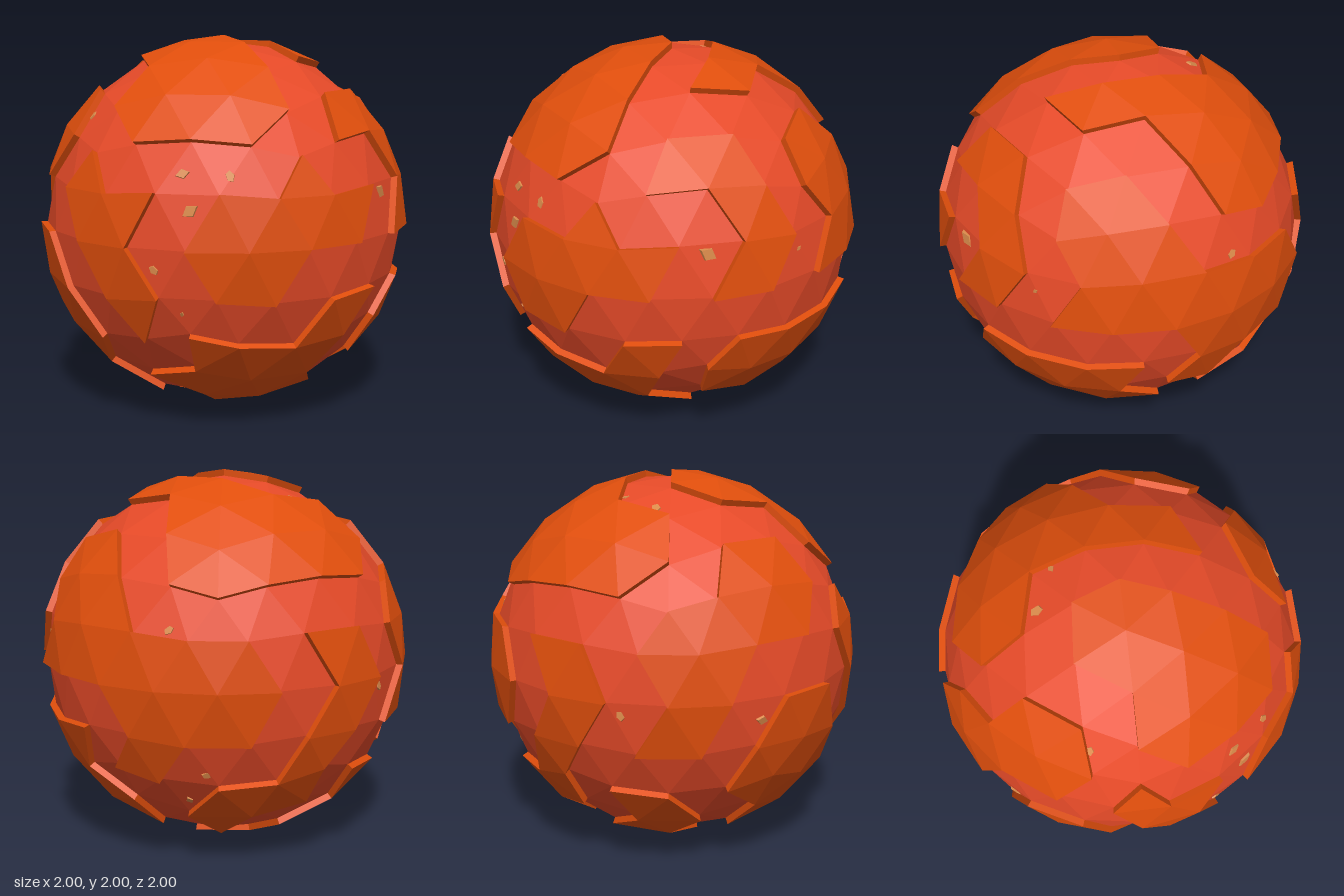
import * as THREE from 'three';

const BASE_R = 0.965, PLATE_R = 1;
const COLORS = { ground: 0xe64a28, plate: 0xe04e0c, rock: 0xd98a4a };

// Faceted ball with one corner straight up and a ridge running down towards +x
function ballGeometry(radius) {
  const g = new THREE.IcosahedronGeometry(radius, 3);
  g.rotateZ(Math.atan(2 / (1 + Math.sqrt(5))));
  g.rotateY(Math.PI);
  return g;
}

const material = (color) => new THREE.MeshStandardMaterial({ color, flatShading: true });

// Point on the unit ball from azimuth (0 = +x, 90 = +z) and height
function direction(azimuth, y) {
  const a = THREE.MathUtils.degToRad(azimuth), r = Math.sqrt(1 - y * y);
  return new THREE.Vector3(r * Math.cos(a), y, r * Math.sin(a));
}

// Mean heights of the rows of corners, from pole to pole
const HALF = [1, 0.968, 0.875, 0.69, 0.485, 0.265];
const ROWS = [...HALF, 0, ...HALF.slice().reverse().map((y) => -y)];

// Even-odd test of a 2D point against a polygon
function inside(p, poly) {
  let hit = false;
  poly.forEach((a, i) => {
    const b = poly[(i + 1) % poly.length];
    if ((a.y > p.y) !== (b.y > p.y) && p.x < ((b.x - a.x) * (p.y - a.y)) / (b.y - a.y) + a.x) hit = !hit;
  });
  return hit;
}

// Raised plate: all ball facets inside an outline of [row, azimuth] corners, plus a rim wall
function plateGeometry(facets, outline) {
  const points = facets.flat();
  const corners = outline.map(([row, az]) => {
    const d = direction(az, ROWS[row]);
    return points.reduce((best, p) => (p.dot(d) > best.dot(d) ? p : best));
  });
  // flatten onto a tangent plane at the middle of the outline
  const mid = corners.reduce((s, c) => s.add(c), new THREE.Vector3()).normalize();
  const u = new THREE.Vector3(0.31, 0.52, 0.79).cross(mid).normalize();
  const v = mid.clone().cross(u);
  const flat = (p) => new THREE.Vector2(p.dot(u) / p.dot(mid), p.dot(v) / p.dot(mid));
  const poly = corners.map(flat);
  const chosen = facets.filter(([a, b, c]) => {
    const centre = a.clone().add(b).add(c).normalize();
    return centre.dot(mid) > 0.1 && inside(flat(centre), poly);
  });

  const key = (p) => p.toArray().map((n) => Math.round(n * 1000) + 0).join();
  const edges = new Set();
  const eachEdge = (fn) => chosen.forEach((t) => t.forEach((a, i) => fn(a, t[(i + 1) % 3])));
  eachEdge((a, b) => edges.add(key(a) + '|' + key(b)));

  const out = [];
  const push = (p, r) => out.push(p.x * r, p.y * r, p.z * r);
  chosen.forEach((t) => t.forEach((p) => push(p, PLATE_R)));
  eachEdge((a, b) => {
    if (edges.has(key(b) + '|' + key(a))) return;
    const low = BASE_R - 0.01;
    push(a, PLATE_R); push(a, low); push(b, low);
    push(a, PLATE_R); push(b, low); push(b, PLATE_R);
  });
  const g = new THREE.BufferGeometry();
  g.setAttribute('position', new THREE.Float32BufferAttribute(out, 3));
  g.computeVertexNormals();
  return g;
}

export function createModel() {
  const group = new THREE.Group();
  const planet = new THREE.Group();
  planet.name = 'planet';
  planet.position.y = 1;
  group.add(planet);

  const add = (name, geometry, mat) => {
    const mesh = new THREE.Mesh(geometry, mat);
    mesh.name = name;
    planet.add(mesh);
    return mesh;
  };

  // Ground ball
  add('ground', ballGeometry(BASE_R), material(COLORS.ground));

  // Facets of the unit ball, as triples of corners
  const pos = ballGeometry(1).getAttribute('position');
  const facets = [];
  for (let i = 0; i < pos.count; i += 3)
    facets.push([0, 1, 2].map((k) => new THREE.Vector3().fromBufferAttribute(pos, i + k)));

  // Crust plates
  const plateMat = material(COLORS.plate);
  const plate = (name, ...outline) => add(name, plateGeometry(facets, outline), plateMat);

  plate('topFrontPlate', [0, 0], [3, 72], [4, 88], [4, 108], [4, 128], [3, 144], [2, 144], [2, 180], [1, 216]);
  plate('topBackPlate', [3, 216], [2, 216], [2, 252], [1, 288], [1, 0], [2, 36], [2, 0], [2, 324],
    [3, 310], [4, 304], [4, 288], [4, 272], [4, 252], [4, 232]);
  plate('backLeftPlate', [6, 0], [5, 351], [4, 0], [3, 0], [3, 338], [4, 324], [5, 314], [5, 297], [5, 279],
    [6, 270], [7, 278], [7, 298], [8, 308], [8, 324], [7, 315], [6, 324], [6, 342]);
  plate('frontLeftPlate', [3, 22], [4, 16], [5, 9], [6, 18], [6, 36], [5, 26], [4, 36], [4, 56], [3, 50]);
  plate('frontPlate', [6, 108], [5, 98], [5, 81], [4, 72], [5, 63], [5, 46], [6, 54], [6, 72], [7, 82], [7, 99]);
  plate('frontRightPlate', [4, 144], [5, 135], [5, 118], [6, 126], [7, 117], [8, 124], [7, 134], [6, 144], [5, 153]);
  plate('lowerFrontPlate', [8, 108], [8, 92], [8, 72], [7, 62], [7, 45], [8, 52], [9, 58], [10, 36], [11, 36],
    [11, 108], [10, 108], [9, 130], [9, 108]);
  plate('lowerLeftPlate', [8, 36], [7, 27], [7, 10], [7, 350], [7, 333], [8, 340], [9, 324], [10, 324],
    [10, 0], [9, 14], [9, 36]);
  plate('backPlate', [5, 262], [6, 252], [7, 261], [8, 268], [8, 288], [9, 302], [10, 288], [9, 274],
    [9, 252], [8, 252], [7, 243], [6, 234], [5, 242]);
  plate('rightPlate', [3, 166], [3, 194], [4, 200], [4, 216], [5, 225], [6, 216], [7, 226], [7, 206],
    [6, 198], [5, 190], [5, 170], [4, 160]);
  plate('lowerRightPlate', [6, 162], [7, 154], [8, 144], [9, 158], [10, 144], [10, 180], [9, 180], [8, 196],
    [7, 189], [6, 180]);
  plate('bottomPlate', [12, 0], [11, 324], [11, 252], [10, 252], [9, 230], [8, 236], [8, 216], [9, 202],
    [10, 216], [11, 180]);

  // Small rock chips half sunk in the ground: azimuth, height, size
  const rockMat = material(COLORS.rock);
  const rocks = [
    [110, 0.38, 0.045], [95, 0.37, 0.04], [107, 0.2, 0.055], [118, -0.11, 0.035], [37, 0.23, 0.06],
    [57, -0.76, 0.035], [110, -0.34, 0.02], [226, 0.9, 0.045], [258, 0.93, 0.03], [230, -0.07, 0.035],
    [187, -0.12, 0.045], [292, -0.47, 0.035], [300, -0.65, 0.035], [303, 0.3, 0.035], [113, -0.93, 0.04],
    [162, 0.62, 0.035], [6, 0.16, 0.02],
  ];
  rocks.forEach(([az, y, size], i) => {
    const d = direction(az, y);
    const rock = add('rock', new THREE.CylinderGeometry(size * 0.75, size, 0.03, 4 + (i % 2)), rockMat);
    rock.position.copy(d).multiplyScalar(BASE_R - 0.022);
    const tilt = new THREE.Vector3(Math.sin(i * 5), Math.sin(i * 3), Math.cos(i * 7)).multiplyScalar(0.15);
    rock.quaternion.setFromUnitVectors(new THREE.Vector3(0, 1, 0), d.clone().add(tilt).normalize());
    rock.rotateY(i * 1.7);
    rock.scale.set(1, 1, 0.7);
  });

  return group;
}
